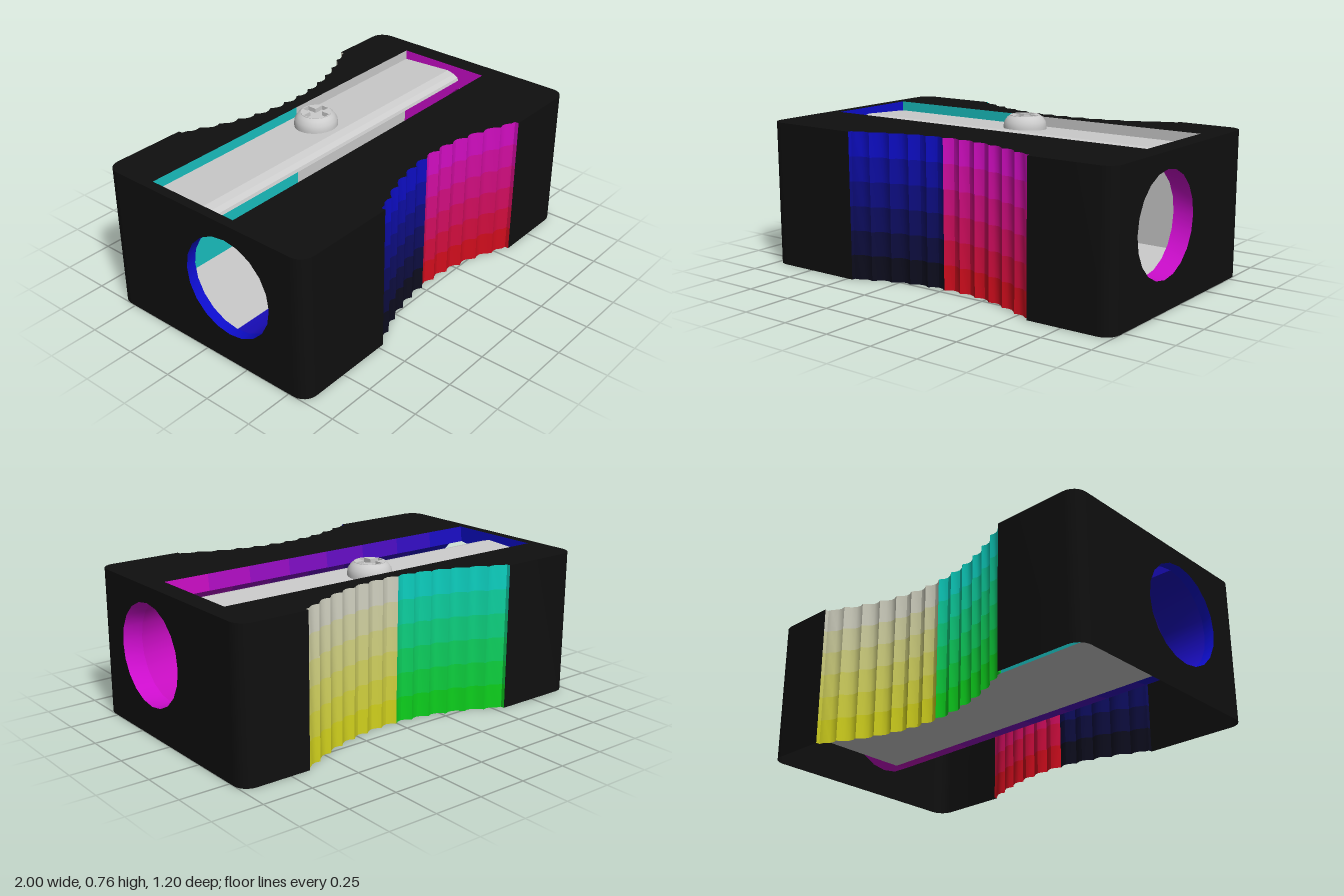
import * as THREE from 'three';
import { toCreasedNormals } from 'three/addons/utils/BufferGeometryUtils.js';

const H = 0.73;                         // body height
const X0 = -0.95, X1 = 0.9;             // pocket ends
const Z0 = -0.34, Z1 = 0.16;            // pocket opening
const HOLE = { z: 0.15, y: 0.4, r: 0.25, sides: 20 };

const paint = (r, g, b) => new THREE.MeshStandardMaterial({
  color: new THREE.Color().setRGB(r, g, b, THREE.SRGBColorSpace), side: THREE.DoubleSide });
const grey = new THREE.MeshStandardMaterial({ color: 0xcccccc, side: THREE.DoubleSide });
const black = paint(0.06, 0.06, 0.06);
const v2 = (x, y) => new THREE.Vector2(x, y);

// Sheet swept from a to b; place(u, v, t) puts a path point in space
function sheet(path, a, b, place) {
  const p = [];
  for (let i = 0; i + 1 < path.length; i++) {
    const [s, e] = [path[i], path[i + 1]];
    const q = [place(s.x, s.y, a), place(e.x, e.y, a), place(e.x, e.y, b), place(s.x, s.y, b)];
    for (const k of [0, 1, 2, 0, 2, 3]) p.push(...q[k]);
  }
  const g = new THREE.BufferGeometry();
  g.setAttribute('position', new THREE.Float32BufferAttribute(p, 3));
  g.computeVertexNormals();
  return toCreasedNormals(g, 0.5);
}
const upright = (x, z, y) => [x, y, z];   // path in plan, swept in y
const along = (z, y, x) => [x, y, z];     // path in section, swept in x

// Arc of the pencil hole as (z, y) points, angles in twentieths of a turn
function holeArc(from, to) {
  const out = [], step = Math.sign(to - from);
  for (let i = from; i !== to + step; i += step) {
    const a = (i / HOLE.sides) * Math.PI * 2;
    out.push(v2(HOLE.z + HOLE.r * Math.cos(a), HOLE.y + HOLE.r * Math.sin(a)));
  }
  return out;
}

// Scalloped finger grip in plan, from xa to xb along the side at z = side * 0.6
function gripPath(xa, xb, side, depth, ribs) {
  const out = [v2(xa, side * 0.6)], n = ribs * 4;
  for (let i = 0; i <= n; i++) {
    const t = (2 * i) / n - 1;
    const rib = [0.022, 0.006, 0, 0.006][i % 4];
    const cut = Math.max(0.02, depth * (1 - t * t) + 0.018 - rib);
    out.push(v2(xa + (xb - xa) * (i / n), side * (0.6 - cut)));
  }
  out.push(v2(xb, side * 0.6));
  return out;
}

// Rounded vertical corner at (sx, sz), running from the long side to the end
function cornerPath(sx, sz, startX) {
  const out = [v2(startX, sz * 0.6)], r = 0.07;
  for (let i = 0; i <= 6; i++) {
    const a = (i / 6) * Math.PI / 2;
    out.push(v2(sx * (1 - r + r * Math.sin(a)), sz * (0.6 - r + r * Math.cos(a))));
  }
  return out;
}

// Shape drawn as (z, y), stood up at the given x
function endPlate(shape, x) {
  const g = new THREE.ShapeGeometry(shape);
  g.rotateY(-Math.PI / 2);
  g.translate(x, 0, 0);
  return g;
}

export function createModel() {
  const root = new THREE.Group();
  const add = (name, geo, mat, parent = root) => {
    const m = new THREE.Mesh(geo, mat);
    m.name = name;
    parent.add(m);
    return m;
  };

  // Plan outline: corners and grips in order round the body
  const frontGrip = gripPath(0.57, -0.47, 1, 0.135, 11);
  const backGrip = gripPath(-0.55, 0.65, -1, 0.18, 13);
  const corners = [
    cornerPath(1, -1, 0.65), cornerPath(1, 1, 0.57).reverse(),
    cornerPath(-1, 1, -0.47), cornerPath(-1, -1, -0.55).reverse(),
  ];
  const body = new THREE.Group();
  body.name = 'body';
  root.add(body);
  corners.forEach((c) => add('bodyCorner', sheet(c, 0, H, upright), black, body));

  // Top face with the blade pocket cut out
  const top = new THREE.Shape([...corners[0], ...corners[1], ...frontGrip,
    ...corners[2], ...corners[3], ...backGrip]);
  top.holes.push(new THREE.Path([v2(X0, Z0), v2(X0, Z1), v2(X1, Z1), v2(X1, Z0)]));
  const topGeo = new THREE.ShapeGeometry(top);
  topGeo.rotateX(Math.PI / 2);
  topGeo.translate(0, H, 0);
  add('bodyTop', topGeo, black, body);

  // End faces with the pencil hole
  const face = new THREE.Shape([v2(-0.53, 0), v2(0.53, 0), v2(0.53, H), v2(-0.53, H)]);
  face.holes.push(new THREE.Path(holeArc(0, 20)));
  for (const x of [-1, 1]) add('bodyEnd', endPlate(face, x), black, body);

  // Grips: left and right halves in bands that shade with height
  const bands = 6;
  for (const [name, path] of [['frontGrip', frontGrip], ['backGrip', backGrip]]) {
    const back = name === 'backGrip';
    const grip = new THREE.Group();
    grip.name = name;
    root.add(grip);
    const mid = path.findIndex((p) => (back ? p.x >= 0 : p.x <= 0.02));
    for (const half of [path.slice(0, mid + 1), path.slice(mid)]) {
      const left = half[0].x + half[half.length - 1].x > 0.05;
      for (let i = 0; i < bands; i++) {
        const mat = paint(left ? 0.82 : 0.05, back ? 0.82 : 0.05, 0.05 + 0.77 * (i + 0.5) / bands);
        add(name + 'Band', sheet(half, (H * i) / bands, (H * (i + 1)) / bands, upright), mat, grip);
      }
    }
  }

  // Pocket: front wall, round trough, flat floor, back wall
  const trough = [v2(Z1, H), ...holeArc(5, -5)];
  const floorY = HOLE.y - HOLE.r;
  const pieces = 8;
  for (let i = 0; i < pieces; i++) {
    const t = (i + 0.5) / pieces;
    const a = X0 + ((X1 - X0) * i) / pieces, b = X0 + ((X1 - X0) * (i + 1)) / pieces;
    add('pencilTrough', sheet(trough, a, b, along), paint(0.05 + 0.77 * t, 0.05, 0.75));
  }
  add('pocketFloor', sheet([v2(HOLE.z, floorY), v2(Z0, floorY)], X0, X1, along), grey);
  const backWall = [v2(Z0, floorY), v2(Z0, H)];
  add('pocketBackRight', sheet(backWall, X0, 0, along), paint(0.1, 0.75, 0.75));
  add('pocketBackLeft', sheet(backWall, 0, X1, along), grey);

  // Pocket ends and the short bores through them
  const plate = new THREE.Shape([v2(HOLE.z, floorY), v2(Z0, floorY), v2(Z0, H),
    v2(Z1, H), ...holeArc(5, 15)]);
  for (const [side, inner, outer, mat] of [
    ['Right', X0, -1, paint(0.05, 0.05, 0.8)], ['Left', X1, 1, paint(0.8, 0.05, 0.8)]]) {
    add('pocketEnd' + side, endPlate(plate, inner), mat);
    add('pencilHole' + side, sheet(holeArc(0, 20), inner, outer, along), mat);
  }

  // Blade with a rounded bevel on its cutting edge
  const blade = new THREE.Shape([v2(Z0, 0.655), v2(0.01, 0.655), v2(0.005, 0.67),
    v2(-0.02, 0.685), v2(-0.06, 0.695), v2(Z0, 0.68)]);
  const bladeGeo = new THREE.ExtrudeGeometry(blade, { depth: X1 - X0, bevelEnabled: false });
  bladeGeo.rotateY(-Math.PI / 2);
  bladeGeo.translate(X1, 0, 0);
  add('blade', bladeGeo, grey);

  // Screw: domed rim, flat cap with a cross slot
  const screw = new THREE.Group();
  screw.name = 'screw';
  screw.position.set(-0.01, 0, -0.2);
  root.add(screw);
  const rim = [[0.107, 0.67], [0.109, 0.7], [0.104, 0.725], [0.09, 0.745], [0.075, 0.755]];
  add('screwRim', new THREE.LatheGeometry(rim.map(([r, y]) => v2(r, y)), 32), grey, screw);
  const cap = new THREE.Shape().absarc(0, 0, 0.075, 0, Math.PI * 2);
  const w = 0.02, l = 0.068, cross = [];
  for (let i = 0; i < 4; i++) {
    for (const [x, y] of [[l, -w], [l, w], [w, w]]) {
      cross.push(v2(x, y).rotateAround(v2(0, 0), (i * Math.PI) / 2));
    }
  }
  cap.holes.push(new THREE.Path(cross));
  const capGeo = new THREE.ExtrudeGeometry(cap, { depth: 0.025, bevelEnabled: false, curveSegments: 16 });
  capGeo.rotateX(-Math.PI / 2);
  capGeo.translate(0, 0.732, 0);
  add('screwCap', capGeo, grey, screw);
  const slot = new THREE.CircleGeometry(0.075, 32);
  slot.rotateX(-Math.PI / 2);
  add('screwSlotFloor', slot, grey, screw).position.y = 0.735;

  return root;
}
